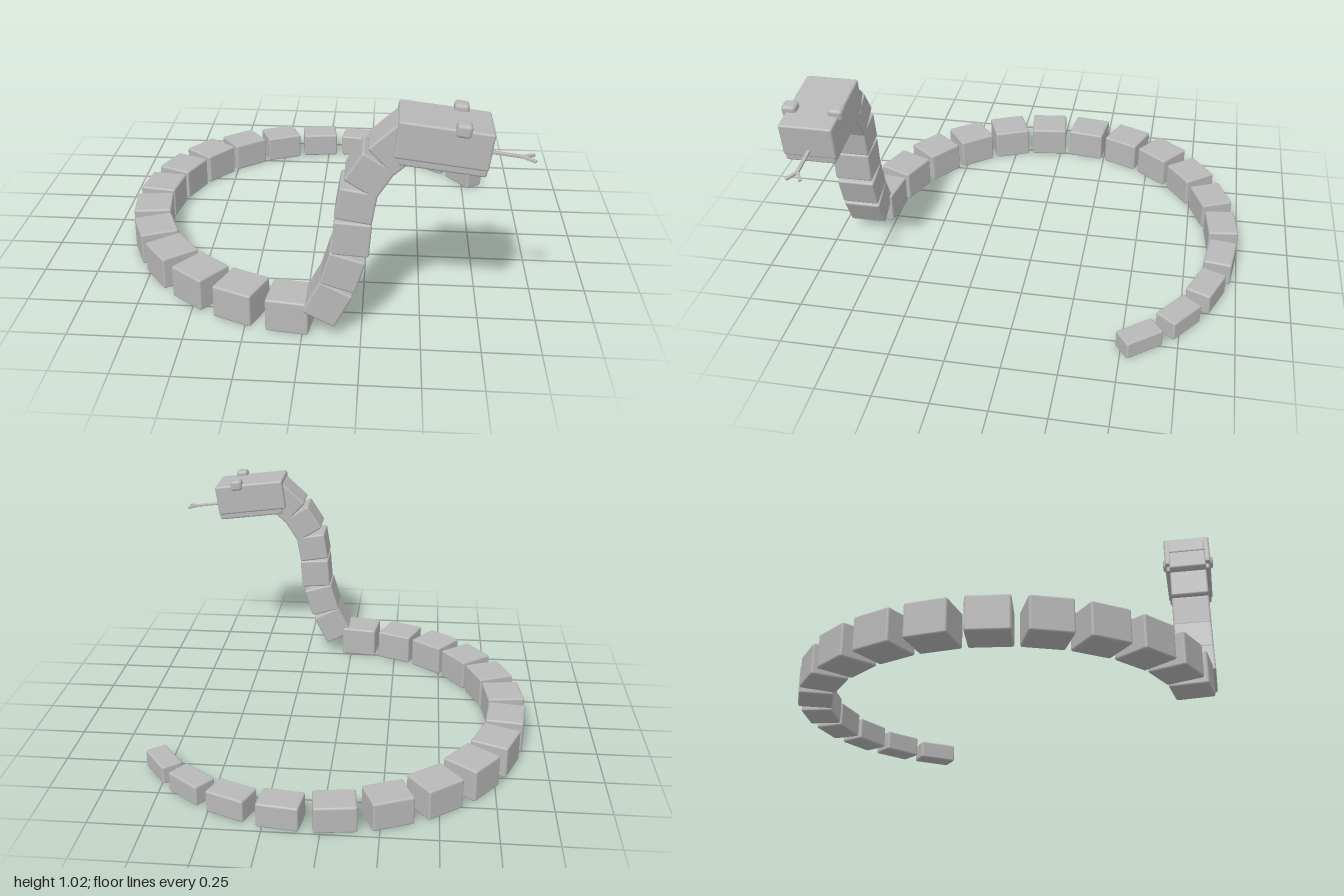
import * as THREE from 'three';
import { RoundedBoxGeometry } from 'three/addons/geometries/RoundedBoxGeometry.js';

const rad = THREE.MathUtils.degToRad;

export function createModel() {
  const grey = new THREE.MeshStandardMaterial({ color: 0xb8b8b8 });
  grey.name = 'grey';
  const model = new THREE.Group();
  model.name = 'blockSnake';

  // Adds a box with softened edges
  function block(name, parent, size, pos, radius = 0.01) {
    const mesh = new THREE.Mesh(new RoundedBoxGeometry(...size, 2, radius), grey);
    mesh.name = name;
    mesh.position.set(...pos);
    parent.add(mesh);
    return mesh;
  }

  // Body: blocks lying on a ring, growing from the tail to full size
  const ring = { x: 0.06, z: -0.04, r: 0.884 };
  for (let i = 0; i < 16; i++) {
    const angle = rad(-37.5 - 15 * i);
    const grow = Math.min(i / 7, 1);
    const height = THREE.MathUtils.lerp(0.088, 0.155, grow);
    const width = THREE.MathUtils.lerp(0.1, 0.18, grow);
    const pos = [ring.x + ring.r * Math.cos(angle), height / 2, ring.z + ring.r * Math.sin(angle)];
    const segment = block('bodySegment' + (i + 1), model, [0.188, height, width], pos);
    segment.rotation.y = -angle - Math.PI / 2;
  }

  // Raised neck: x, y, tilt in degrees, length
  const neckZ = 0.86;
  [
    [0.107, 0.167, 63, 0.17],
    [0.169, 0.321, 73.5, 0.155],
    [0.204, 0.48, 86, 0.153],
    [0.219, 0.632, 81, 0.142],
    [0.271, 0.769, 58, 0.145],
    [0.372, 0.885, 43, 0.165],
  ].forEach(([x, y, tilt, length], i) => {
    const segment = block('neckSegment' + (i + 1), model, [length, 0.155, 0.18], [x, y, neckZ]);
    segment.rotation.z = rad(tilt);
  });

  // Head, pitched slightly down
  const head = new THREE.Group();
  head.name = 'head';
  head.position.set(0.553, 0.918, neckZ);
  head.rotation.z = rad(-7);
  model.add(head);
  block('skull', head, [0.37, 0.157, 0.235], [0, 0, 0]);
  block('jaw', head, [0.345, 0.06, 0.222], [0.01, -0.078, 0]);
  for (const side of [-1, 1]) {
    block(side > 0 ? 'leftEye' : 'rightEye', head, [0.06, 0.055, 0.065], [0.063, 0.078, side * 0.102], 0.015);
  }

  // Forked tongue
  block('tongue', head, [0.15, 0.012, 0.016], [0.25, -0.045, 0], 0.003);
  for (const side of [-1, 1]) {
    const prong = block(side > 0 ? 'leftTongueTip' : 'rightTongueTip', head,
      [0.062, 0.012, 0.014], [0.346, -0.045, side * 0.015], 0.003);
    prong.rotation.y = -side * rad(32);
  }
  return model;
}
